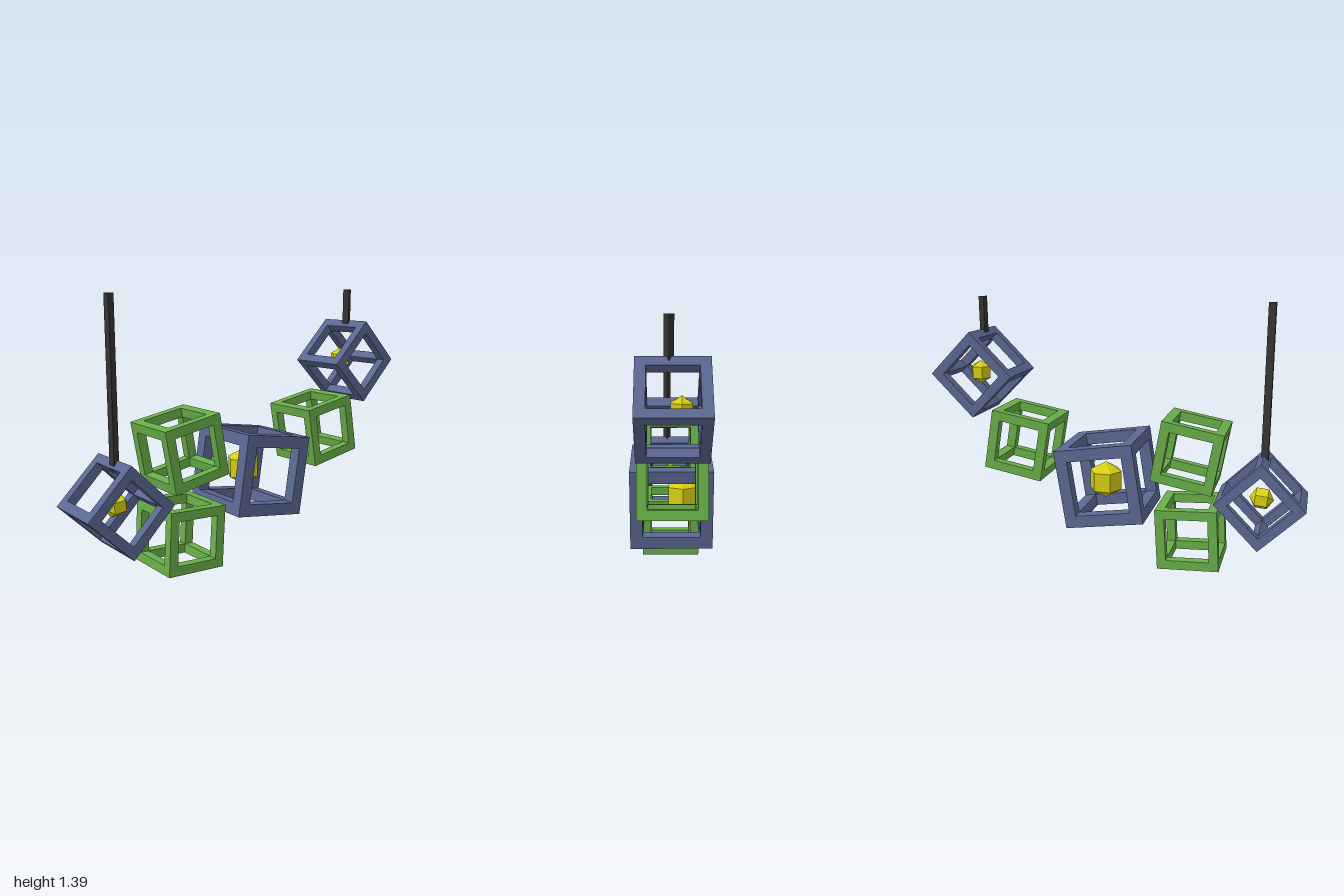
import * as THREE from 'three';

const material = (color) => new THREE.MeshStandardMaterial({ color, flatShading: true });

// Open cube: front and back square rings joined by four corner bars
function cubeFrame(name, mat, size, x, y, degrees) {
  const group = new THREE.Group();
  group.name = name;
  const h = size / 2, bar = size * 0.15, inner = h - bar;
  const square = (r) => [[-r, -r], [r, -r], [r, r], [-r, r]].map(([a, b]) => new THREE.Vector2(a, b));
  const shape = new THREE.Shape(square(h));
  shape.holes.push(new THREE.Path(square(inner).reverse()));
  const ringGeometry = new THREE.ExtrudeGeometry(shape, { depth: bar, bevelEnabled: false });
  for (const [label, z] of [['frontRing', inner], ['backRing', -h]]) {
    const ring = new THREE.Mesh(ringGeometry, mat);
    ring.name = label;
    ring.position.z = z;
    group.add(ring);
  }
  const barGeometry = new THREE.BoxGeometry(bar, bar, inner * 2);
  for (const sx of [-1, 1]) for (const sy of [-1, 1]) {
    const post = new THREE.Mesh(barGeometry, mat);
    post.name = 'cornerBar';
    post.position.set(sx * (h - bar / 2), sy * (h - bar / 2), 0);
    group.add(post);
  }
  group.position.set(x, y, 0);
  group.rotation.z = THREE.MathUtils.degToRad(degrees);
  return group;
}

// Six-sided faceted gem
function gem(name, mat, radius, x, y, z, degrees = 0) {
  const mesh = new THREE.Mesh(new THREE.SphereGeometry(radius, 6, 3), mat);
  mesh.name = name;
  mesh.position.set(x, y, z);
  mesh.rotation.z = THREE.MathUtils.degToRad(degrees);
  return mesh;
}

// Three-sided hanging pole with one edge toward +x
function pole(name, mat, x, bottom, top) {
  const mesh = new THREE.Mesh(new THREE.CylinderGeometry(0.026, 0.026, top - bottom, 3), mat);
  mesh.name = name;
  mesh.position.set(x, (top + bottom) / 2, 0.017);
  mesh.rotation.y = Math.PI / 2;
  return mesh;
}

export function createModel() {
  const model = new THREE.Group();
  model.name = 'hangingCubes';
  const blue = material(0x5a6791);
  const green = material(0x68ae48);
  const yellow = material(0xd6cf12);
  const dark = material(0x333333);

  model.add(
    // Blue cubes
    cubeFrame('rightHangingCube', blue, 0.324, -0.77, 0.387, 45),
    cubeFrame('leftHangingCube', blue, 0.324, 0.768, 0.986, 45),
    cubeFrame('centreCube', blue, 0.423, 0.051, 0.44, -9),
    // Green cubes
    cubeFrame('lowerGreenCube', green, 0.324, -0.409, 0.175, -3.5),
    cubeFrame('upperGreenCube', green, 0.324, -0.4, 0.617, 10),
    cubeFrame('leftGreenCube', green, 0.324, 0.521, 0.617, 10),
    // Gems
    gem('centreGem', yellow, 0.1, 0.051, 0.44, -0.06),
    gem('leftGem', yellow, 0.063, 0.766, 0.987, -0.037),
    gem('rightGem', yellow, 0.063, -0.77, 0.39, -0.004, 95),
    // Poles
    pole('rightPole', dark, -0.781, 0.57, 1.39),
    pole('leftPole', dark, 0.762, 1.17, 1.39),
  );
  return model;
}
